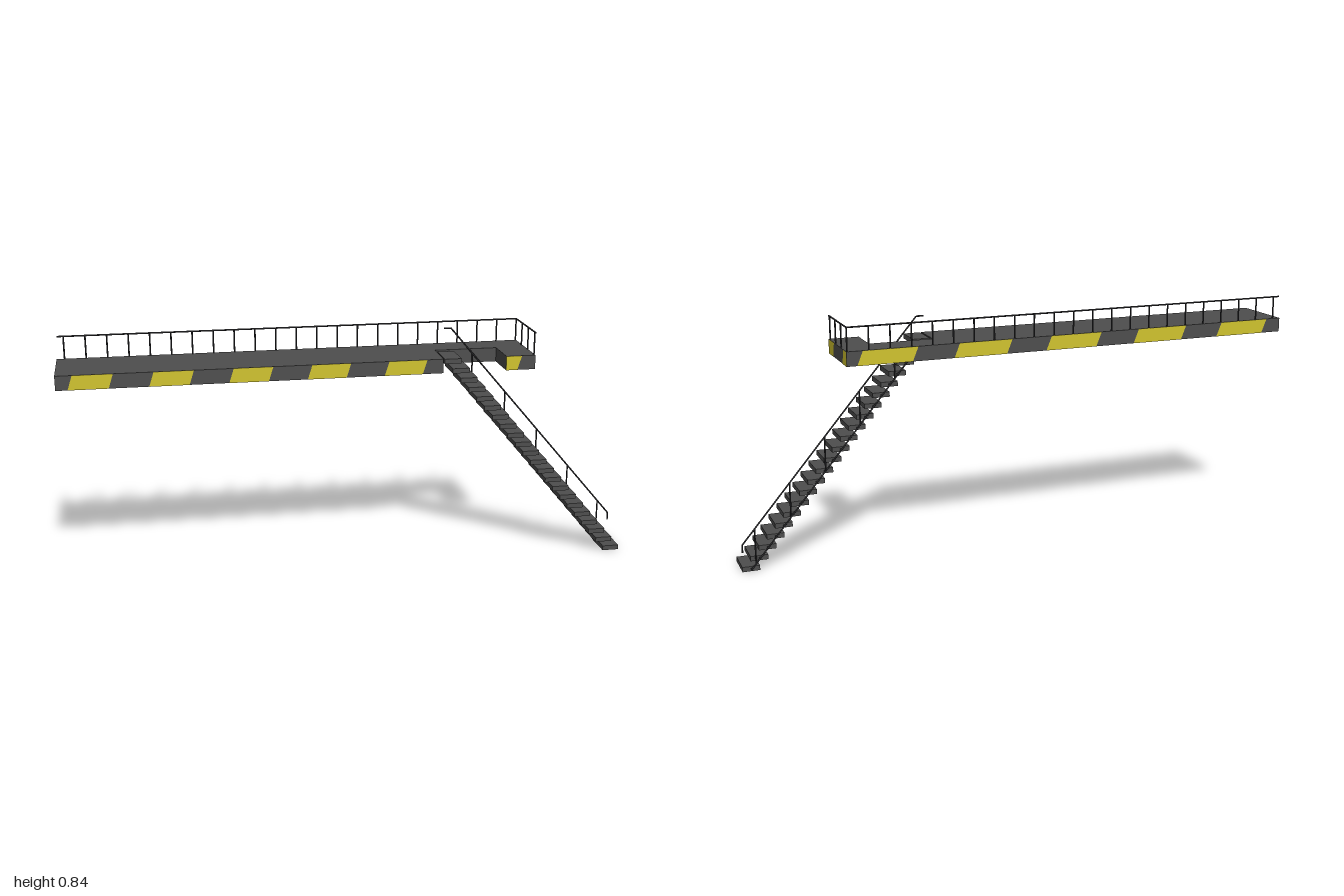
import * as THREE from 'three';

export function createModel() {
  const model = new THREE.Group();
  const mat = (name, color) => {
    const m = new THREE.MeshStandardMaterial({ color });
    m.name = name;
    return m;
  };
  const grey = mat('dark grey', 0x4e4e4e);
  const yellow = mat('warning yellow', 0xd0c32e);
  const black = mat('rail black', 0x2c2c2f);

  const add = (parent, name, geo, material) => {
    const m = new THREE.Mesh(geo, material);
    m.name = name;
    parent.add(m);
    return m;
  };
  const group = (name) => {
    const g = new THREE.Group();
    g.name = name;
    model.add(g);
    return g;
  };
  // Round bar between two points
  const bar = (parent, name, a, b, r = 0.0028) => {
    const A = new THREE.Vector3(...a), B = new THREE.Vector3(...b);
    const m = add(parent, name, new THREE.CylinderGeometry(r, r, A.distanceTo(B), 8), black);
    m.position.copy(A).lerp(B, 0.5);
    m.quaternion.setFromUnitVectors(new THREE.Vector3(0, 1, 0), B.sub(A).normalize());
  };

  // Deck with a notch for the stairs
  const L = -1, R = 0.645, D = 0.117, Y0 = 0.707, Y1 = 0.757, H = Y1 - Y0;
  const n0 = 0.315, n1 = 0.54, nz = -0.013;
  const outline = [[L, -D], [n0, -D], [n0, -nz], [n1, -nz], [n1, -D], [R, -D], [R, D], [L, D]];
  const deckGeo = new THREE.ExtrudeGeometry(
    new THREE.Shape(outline.map(([x, y]) => new THREE.Vector2(x, y))),
    { depth: H, bevelEnabled: false });
  deckGeo.rotateX(-Math.PI / 2).translate(0, Y0, 0);
  add(model, 'deck', deckGeo, grey);

  // Slanted warning stripes; corners are bottom-left, bottom-right, top-right, top-left along each face
  const stripes = group('warningStripes');
  const stripe = (bl, br, tr, tl, x, z, turn) => {
    const s = new THREE.Shape([[bl, 0], [br, 0], [tr, H], [tl, H]].map(([u, v]) => new THREE.Vector2(u, v)));
    const m = add(stripes, 'stripe', new THREE.ShapeGeometry(s), yellow);
    m.position.set(x, Y0, z);
    m.rotation.y = turn;
  };
  const e = 0.001;
  for (let i = 0; i < 5; i++) {
    const a = -0.96 + i * 0.267;
    stripe(a, a + 0.134, a + 0.15, a + 0.016, 0, D + e, 0);
    const b = -0.61 + i * 0.336;
    stripe(b, b + 0.19, b + 0.21, b + 0.02, 0, -D - e, Math.PI);
  }
  stripe(n1, 0.58, 0.596, n1, 0, D + e, 0);
  for (const [x, turn] of [[R + e, Math.PI / 2], [L - e, -Math.PI / 2]]) {
    stripe(-D, -0.057, -0.043, -D, x, 0, turn);
    stripe(0.066, D, D, 0.079, x, 0, turn);
  }

  // Deck railing along the back and the right-hand end
  const railing = group('deckRailing');
  const top = 0.837, rz = -0.113, rx = 0.642;
  bar(railing, 'backRail', [-0.995, top, rz], [rx, top, rz]);
  bar(railing, 'endRail', [rx, top, rz], [rx, top, D]);
  for (let i = 0; i < 23; i++) {
    const x = rx - i * 0.0734;
    bar(railing, 'post', [x, Y1 - 0.005, rz], [x, top, rz]);
  }
  for (let i = 1; i < 4; i++) {
    const z = rz + i * 0.0735;
    bar(railing, 'post', [rx, Y1 - 0.005, z], [rx, top, z]);
  }

  // Stair treads, each held by a stub on a single stringer
  const stairs = group('stairs');
  const sz = -0.003;
  const stepX = (i) => 0.969 - i * 0.0295, stepY = (i) => 0.0085 + i * 0.0352;
  for (let i = 0; i < 22; i++) {
    const t = add(stairs, 'tread', new THREE.BoxGeometry(0.06, 0.017, 0.111), grey);
    t.position.set(stepX(i), stepY(i), 0.0615);
    bar(stairs, 'treadStub', [stepX(i), stepY(i), sz], [stepX(i), stepY(i), 0.01]);
  }
  bar(stairs, 'stringer', [stepX(0), stepY(0), sz], [stepX(21), stepY(21), sz]);

  // Stair handrail with short returns at both ends
  const handrail = group('stairHandrail');
  const path = [[0.345, top, sz], [0.37, top, sz], [0.997, 0.1, sz], [0.997, 0.073, sz]];
  for (let i = 0; i < 3; i++) bar(handrail, 'handrail', path[i], path[i + 1]);
  for (let i = 0; i < 5; i++) {
    const x = 0.953 - i * 0.1257;
    const low = 0.0085 + (0.969 - x) * 1.193, high = 0.1 + (0.997 - x) * 1.175;
    bar(handrail, 'post', [x, low, sz], [x, high, sz]);
  }
  return model;
}
